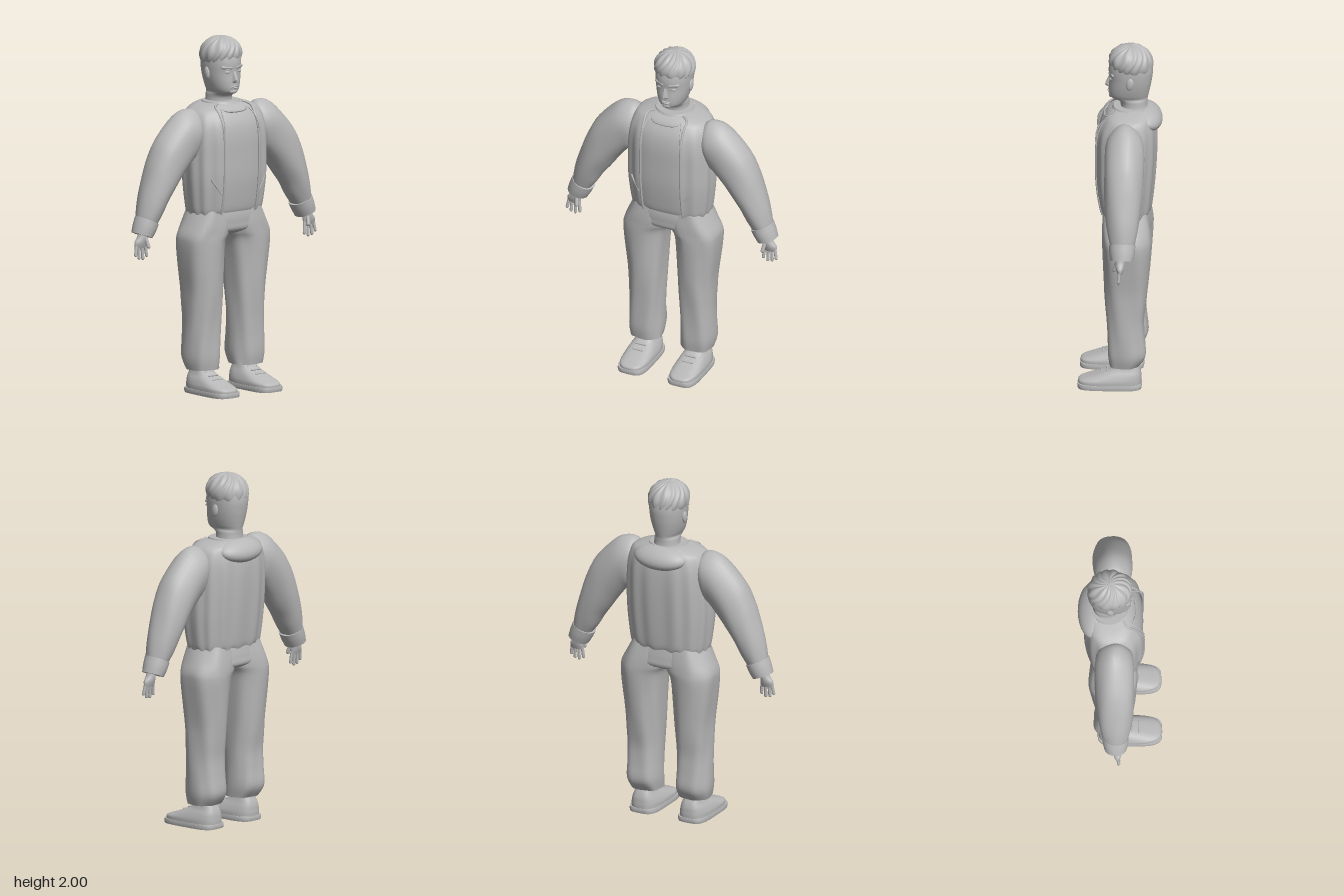
import * as THREE from 'three';
import { ConvexGeometry } from 'three/addons/geometries/ConvexGeometry.js';

const V = (x, y, z) => new THREE.Vector3(x, y, z);
const TAU = Math.PI * 2;
const spow = (v, e) => Math.sign(v) * Math.pow(Math.abs(v), e);

// Smoothly interpolated row of a cross-section table, t from 0 to 1
function sample(rows, t) {
  const s = t * (rows.length - 1);
  const i = Math.min(Math.floor(s), rows.length - 2);
  const f = s - i;
  const at = (k) => rows[Math.max(0, Math.min(rows.length - 1, k))];
  return rows[0].map((_, c) => {
    const [p0, p1, p2, p3] = [at(i - 1)[c], at(i)[c], at(i + 1)[c], at(i + 2)[c]];
    return p1 + 0.5 * f * (p2 - p0 + f * (2 * p0 - 5 * p1 + 4 * p2 - p3 + f * (3 * (p1 - p2) + p3 - p0)));
  });
}

// Skin over f(u, v); closed around u, with optional end caps
function skin(nu, nv, f, { closed = true, caps = true } = {}) {
  const pos = [], index = [];
  const cols = closed ? nu : nu + 1;
  for (let j = 0; j <= nv; j++)
    for (let i = 0; i < cols; i++) pos.push(...f(i / nu, j / nv).toArray());
  for (let j = 0; j < nv; j++)
    for (let i = 0; i < nu; i++) {
      const k = (i + 1) % cols;
      const a = j * cols + i, b = j * cols + k, c = b + cols, d = a + cols;
      index.push(a, b, c, a, c, d);
    }
  if (caps) for (const j of [0, nv]) {
    const base = pos.length / 3, mid = V(0, 0, 0);
    for (let i = 0; i < nu; i++) {
      const p = f(i / nu, j / nv);
      mid.addScaledVector(p, 1 / nu);
      pos.push(p.x, p.y, p.z);
    }
    pos.push(mid.x, mid.y, mid.z);
    for (let i = 0; i < nu; i++) {
      const a = base + i, b = base + (i + 1) % nu;
      index.push(base + nu, ...(j ? [a, b] : [b, a]));
    }
  }
  const g = new THREE.BufferGeometry();
  g.setAttribute('position', new THREE.Float32BufferAttribute(pos, 3));
  g.setIndex(index);
  g.computeVertexNormals();
  return g;
}

// Point on a rounded horizontal section; row = [y, xMin, xMax, zFront, zBack]
function section([y, x0, x1, zf, zb], a, n, grow = 0) {
  return V((x0 + x1) / 2 + ((x1 - x0) / 2 + grow) * spow(Math.cos(a), 2 / n), y,
    (zf + zb) / 2 - ((zf - zb) / 2 + grow) * spow(Math.sin(a), 2 / n));
}
const column = (rows, n = 2, nu = 32, nv = 28, fold = () => 0) =>
  skin(nu, nv, (u, v) => section(sample(rows, v), u * TAU, n, fold(u * TAU, v)));
const sym = (rows) => rows.map(([y, rx, zf, zb]) => [y, -rx, rx, zf, zb]);

// Limb described by top and bottom outline points; row = [tx, ty, bx, by, halfDepth]
function limb(rows, cz, nv, fold = 0) {
  return skin(28, nv, (u, v) => {
    const [tx, ty, bx, by, rz] = sample(rows, v);
    const a = u * TAU, w = 1 + fold * Math.sin(5 * a + 9 * v);
    const c = w * Math.cos(a) / 2;
    return V((tx + bx) / 2 + (tx - bx) * c, (ty + by) / 2 + (ty - by) * c, cz + rz * w * Math.sin(a));
  });
}

function capsule(a, b, r) {
  const d = b.clone().sub(a);
  const g = new THREE.CapsuleGeometry(r, d.length(), 4, 10);
  g.applyQuaternion(new THREE.Quaternion().setFromUnitVectors(V(0, 1, 0), d.normalize()));
  return g.translate((a.x + b.x) / 2, (a.y + b.y) / 2, (a.z + b.z) / 2);
}
const blob = (x, y, z, rx, ry, rz, tilt = 0) =>
  new THREE.SphereGeometry(1, 28, 18).scale(rx, ry, rz).rotateX(tilt).translate(x, y, z);
const cord = (pts, r) => new THREE.TubeGeometry(new THREE.CatmullRomCurve3(pts), 32, r, 6);

function mirrored(geo) {
  const g = geo.clone().scale(-1, 1, 1);
  const ix = g.index.array;
  for (let i = 0; i < ix.length; i += 3) [ix[i], ix[i + 1]] = [ix[i + 1], ix[i]];
  return g;
}

export function createModel() {
  const model = new THREE.Group();
  const grey = new THREE.MeshStandardMaterial({ color: 0xb8b8b8, side: THREE.DoubleSide });
  grey.name = 'plain grey';
  const add = (name, geo) => {
    const m = new THREE.Mesh(geo, grey);
    m.name = name;
    model.add(m);
  };
  const pair = (name, geo) => {
    add(name + 'Left', geo);
    add(name + 'Right', mirrored(geo));
  };

  // Head and neck
  add('head', column(sym([
    [1.56, 0.085, 0.01, -0.16], [1.64, 0.072, 0.0, -0.15], [1.672, 0.07, 0.015, -0.15],
    [1.688, 0.068, 0.055, -0.152], [1.71, 0.078, 0.066, -0.157], [1.75, 0.09, 0.067, -0.166],
    [1.80, 0.099, 0.064, -0.175], [1.86, 0.103, 0.067, -0.18], [1.92, 0.096, 0.05, -0.165],
    [1.97, 0.05, 0.0, -0.11]]), 2.15, 36, 40));
  add('nose', new ConvexGeometry([V(-0.008, 1.82, 0.06), V(0.008, 1.82, 0.06), V(-0.006, 1.765, 0.086),
    V(0.006, 1.765, 0.086), V(0, 1.755, 0.087), V(-0.019, 1.75, 0.06), V(0.019, 1.75, 0.06), V(0, 1.745, 0.072)]));
  add('upperLip', blob(0, 1.726, 0.064, 0.027, 0.005, 0.009));
  add('lowerLip', blob(0, 1.716, 0.063, 0.023, 0.006, 0.009));
  add('chin', blob(0, 1.697, 0.053, 0.028, 0.015, 0.014));
  pair('brow', capsule(V(0.02, 1.832, 0.06), V(0.066, 1.835, 0.041), 0.009));
  pair('eyelid', blob(0.039, 1.808, 0.053, 0.018, 0.008, 0.008));
  pair('ear', blob(0.1, 1.797, -0.055, 0.012, 0.036, 0.021, -0.15));

  // Hair cap with locks swirling out from the crown
  add('hair', skin(120, 36, (u, v) => {
    const th = Math.PI * (0.63 - 0.628 * v), a = u * TAU;
    const lock = Math.sin(15 * a + 5 * th + 1.5 * Math.sin(3 * a + 4 * th));
    const s = 1 + 0.028 * lock * Math.min(1, 1.5 * Math.sin(th));
    const z = -Math.sin(a) * Math.sin(th) * 0.123 * s;
    return V(Math.cos(a) * Math.sin(th) * 0.114 * s, 1.898 + 0.1 * Math.cos(th) * s + 0.09 * z * (1 - v), -0.057 + z);
  }));

  // Shirt and open jacket share one torso profile: [y, halfWidth, zFront, zBack]
  const torso = sym([
    [1.02, 0.218, 0.098, -0.155], [1.06, 0.226, 0.11, -0.165], [1.20, 0.24, 0.128, -0.18],
    [1.34, 0.243, 0.131, -0.19], [1.45, 0.24, 0.13, -0.193], [1.53, 0.23, 0.115, -0.188],
    [1.59, 0.205, 0.082, -0.175], [1.615, 0.16, 0.058, -0.162], [1.63, 0.105, 0.035, -0.155]]);
  const N = 2.5;
  add('shirt', column(torso, N, 40, 32));
  const edgeX = (row) => Math.min(0.117, row[2] * 0.75);
  const frontAngle = (row, x) => Math.acos(Math.pow(x / row[2], N / 2));
  const jacketPoint = (u, v) => {
    const row = sample(torso, v);
    const e = frontAngle(row, edgeX(row));
    const a = -e + u * (Math.PI + 2 * e);
    const folds = 0.004 * Math.sin(14 * a) * Math.sin(Math.PI * Math.min(1, v * 1.1 + 0.15));
    const p = section(row, a, N, 0.011 + folds);
    p.y += 0.006 * Math.sin(20 * a) * Math.max(0, 1 - 8 * v);
    return p;
  };
  add('jacket', skin(96, 36, jacketPoint, { closed: false, caps: false }));
  const edge = [];
  for (let i = 0; i <= 14; i++) edge.push(jacketPoint(0, i / 14));
  pair('jacketFrontEdge', cord(edge, 0.007));
  const onFront = (x, v, lift) => {
    const row = sample(torso, v);
    return section(row, -frontAngle(row, x), N, lift);
  };
  pair('pocketSlit', cord([onFront(0.185, 0.27, 0.012), onFront(0.16, 0.235, 0.012), onFront(0.132, 0.2, 0.012)], 0.005));
  pair('drawstring', cord([V(0.085, 1.612, 0.045), V(0.105, 1.585, 0.085), V(0.118, 1.53, 0.126), V(0.126, 1.46, 0.135)], 0.004));

  // Collar and hood lying on the back
  add('collar', column(sym([[1.59, 0.13, 0.065, -0.17], [1.615, 0.115, 0.052, -0.162], [1.637, 0.105, 0.04, -0.155]]), 2.2, 32, 8));
  add('neckline', cord([V(-0.1, 1.605, 0.045), V(-0.06, 1.592, 0.084), V(0, 1.588, 0.09), V(0.06, 1.592, 0.084), V(0.1, 1.605, 0.045)], 0.006));
  add('hood', blob(0, 1.573, -0.153, 0.163, 0.06, 0.086, -0.5));

  // Sleeves and cuffs
  pair('sleeve', limb([
    [0.19, 1.575, 0.235, 1.36, 0.085], [0.235, 1.612, 0.25, 1.325, 0.103], [0.33, 1.592, 0.275, 1.3, 0.11],
    [0.455, 1.47, 0.33, 1.235, 0.11], [0.515, 1.36, 0.385, 1.16, 0.106], [0.555, 1.25, 0.43, 1.1, 0.098],
    [0.59, 1.14, 0.465, 1.04, 0.085], [0.608, 1.055, 0.5, 0.99, 0.07], [0.612, 1.02, 0.515, 0.965, 0.06]], -0.033, 36, 0.02));
  pair('cuff', limb([
    [0.612, 1.045, 0.49, 0.987, 0.074], [0.63, 1.0, 0.508, 0.95, 0.071], [0.643, 0.957, 0.53, 0.915, 0.063]], -0.032, 6));

  // Hands
  pair('palm', limb([
    [0.612, 0.96, 0.568, 0.95, 0.024], [0.622, 0.93, 0.567, 0.92, 0.026],
    [0.645, 0.9, 0.565, 0.89, 0.022], [0.643, 0.87, 0.57, 0.865, 0.013]], -0.022, 12));
  [[0.573, 0.567, 0.822], [0.595, 0.594, 0.808], [0.617, 0.621, 0.813], [0.636, 0.645, 0.83]].forEach(([x0, x1, y], i) =>
    pair('finger' + (i + 1), capsule(V(x0, 0.88, -0.02), V(x1, y, -0.015), 0.009)));
  pair('thumb', capsule(V(0.582, 0.925, -0.005), V(0.574, 0.875, 0.012), 0.011));

  // Trousers
  add('trouserSeat', column(sym([
    [0.885, 0.06, 0.02, -0.1], [0.915, 0.22, 0.09, -0.163], [0.96, 0.24, 0.1, -0.165],
    [1.0, 0.228, 0.102, -0.16], [1.04, 0.212, 0.098, -0.153]]), 2.4, 36, 16));
  pair('trouserLeg', column([
    [0.135, 0.065, 0.243, 0.058, -0.11], [0.2, 0.06, 0.256, 0.067, -0.148], [0.3, 0.06, 0.255, 0.068, -0.142],
    [0.4, 0.058, 0.253, 0.071, -0.137], [0.5, 0.055, 0.254, 0.078, -0.147], [0.6, 0.051, 0.258, 0.084, -0.156],
    [0.75, 0.043, 0.276, 0.09, -0.167], [0.85, 0.032, 0.285, 0.095, -0.174], [0.9, 0.005, 0.28, 0.098, -0.174],
    [0.96, 0.0, 0.252, 0.1, -0.168], [1.04, 0.01, 0.212, 0.095, -0.153]], 2.5, 36, 44,
    (a, v) => 0.003 * Math.sin(6 * a + 8 * v)));

  // Shoes with soles and laces
  pair('sole', column([[0, 0.068, 0.24, 0.232, -0.123], [0.014, 0.066, 0.242, 0.235, -0.126], [0.028, 0.068, 0.24, 0.233, -0.124]], 4, 40, 4));
  pair('shoe', column([
    [0.024, 0.07, 0.238, 0.23, -0.122], [0.045, 0.07, 0.238, 0.226, -0.123], [0.062, 0.074, 0.234, 0.18, -0.122],
    [0.085, 0.083, 0.225, 0.115, -0.12], [0.11, 0.095, 0.212, 0.055, -0.113], [0.138, 0.105, 0.203, 0.022, -0.1]], 3, 40, 24));
  for (let i = 0; i < 3; i++) {
    const y = 0.09 + i * 0.017, z = 0.104 - i * 0.037;
    pair('lace' + (i + 1), capsule(V(0.124, y, z), V(0.184, y, z), 0.005));
  }
  return model;
}
